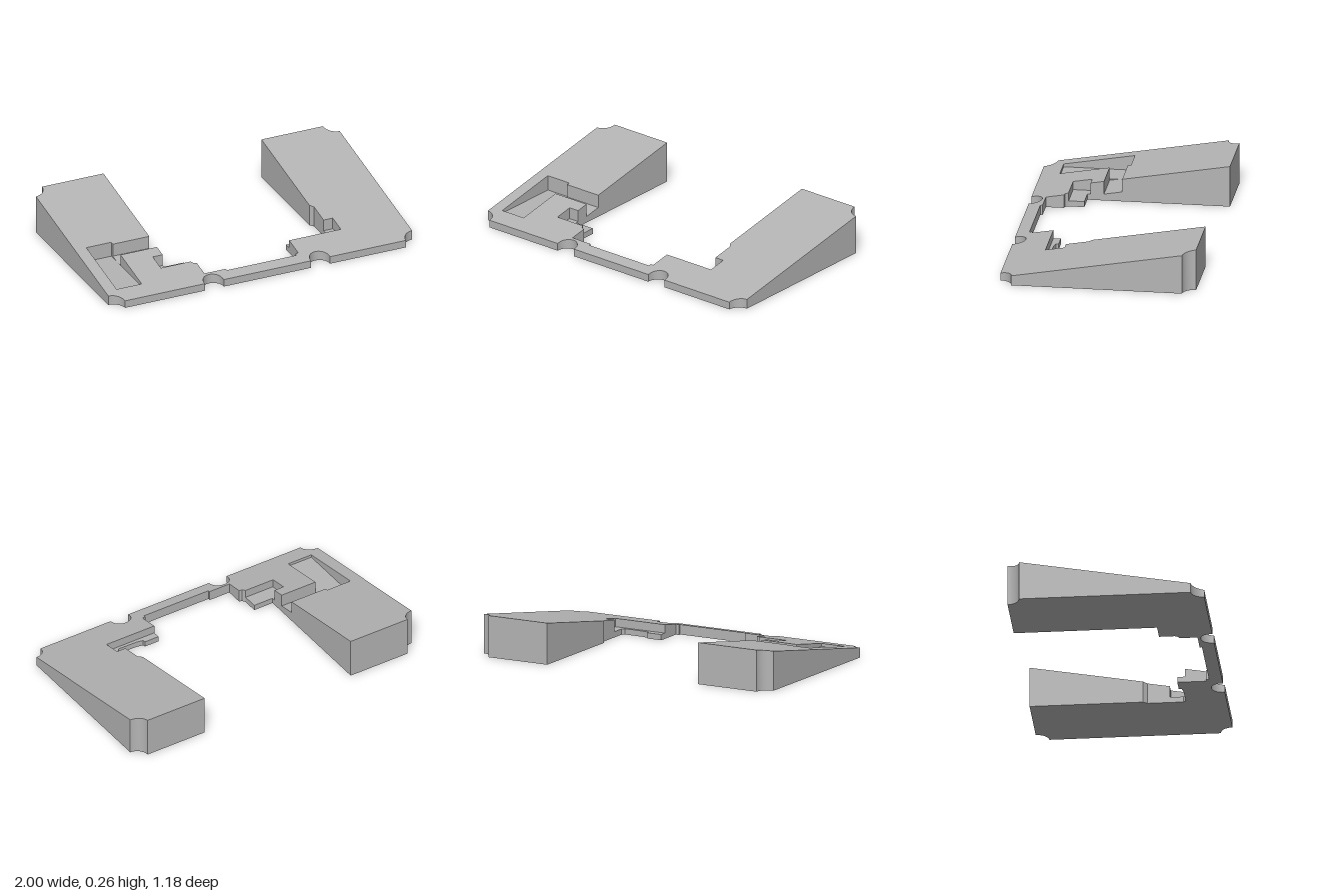
import * as THREE from 'three';
import { toCreasedNormals } from 'three/addons/utils/BufferGeometryUtils.js';

const grey = new THREE.MeshStandardMaterial({ color: 0xb4b4b4 });
grey.name = 'plain grey';

// Height of the ten degree sloping top at depth z
const slope = (z) => 0.151 - 0.1763 * z;

// Points of an arc in plan, angles in degrees from +x towards +z
function arc(x, z, r, from, to, steps = 10) {
  return Array.from({ length: steps + 1 }, (_, i) => {
    const a = THREE.MathUtils.degToRad(from + ((to - from) * i) / steps);
    return [x + r * Math.cos(a), z + r * Math.sin(a)];
  });
}

// Solid standing on the ground with a plan outline and a top height rule
function slab(name, plan, top) {
  const shape = new THREE.Shape(plan.map(([x, z]) => new THREE.Vector2(x, -z)));
  let g = new THREE.ExtrudeGeometry(shape, { depth: 1, bevelEnabled: false });
  g.rotateX(-Math.PI / 2);
  const p = g.attributes.position;
  for (let i = 0; i < p.count; i++) p.setY(i, p.getY(i) > 0.5 ? top(p.getZ(i)) : 0);
  g = toCreasedNormals(g, 0.5);
  const mesh = new THREE.Mesh(g, grey);
  mesh.name = name;
  return mesh;
}

const rect = (x0, x1, z0, z1) => [[x0, z0], [x0, z1], [x1, z1], [x1, z0]];

// Half-round bite in the front edge
const bite = (x) => [[x - 0.0625, 0.59], ...arc(x, 0.5775, 0.0625, 180, 360), [x + 0.0625, 0.59]];

export function createModel() {
  const model = new THREE.Group();
  model.name = 'wedgeStand';

  const outline = [
    // front edge with scallops
    ...arc(-1, 0.59, 0.075, -90, 0),
    ...bite(-0.3375),
    ...bite(0.3625),
    ...arc(1, 0.59, 0.075, 180, 270),
    // left arm and its inner notch
    ...arc(1, -0.59, 0.075, 90, 180),
    [0.52, -0.59], [0.52, 0.09], [0.54, 0.115], [0.54, 0.25],
    [0.6, 0.25], [0.6, 0.365], [0.26, 0.365],
    // inner edge of the front bar
    [0.26, 0.495], [0.24, 0.495], [0.24, 0.512], [-0.22, 0.512], [-0.22, 0.498],
    [-0.36, 0.498], [-0.36, 0.39], [-0.378, 0.385], [-0.39, 0.365],
    // right notch, channel and pocket
    [-0.585, 0.365], [-0.585, 0.25], [-0.52, 0.25],
    [-0.52, 0.17], [-0.76, 0.17], [-0.76, 0.47], [-0.925, 0.47],
    [-0.925, 0.04], [-0.76, 0.04], [-0.76, 0.06], [-0.52, 0.06],
    // right arm
    [-0.52, -0.59],
    ...arc(-1, -0.59, 0.075, 0, 90),
  ];
  model.add(slab('wedgeBody', outline, slope));

  // Recessed floors
  model.add(slab('pocketFloor', rect(-0.925, -0.76, 0.04, 0.47), () => 0.05));
  model.add(slab('channelFloor', rect(-0.76, -0.52, 0.06, 0.17), (z) => 0.05 + (0.115 - z) * 0.1763));
  model.add(slab('rightLedge', [
    [-0.585, 0.25], [-0.585, 0.365], [-0.39, 0.365], [-0.39, 0.27], [-0.52, 0.27], [-0.52, 0.25],
  ], () => 0.035));
  model.add(slab('leftLedge', [
    [0.26, 0.365], [0.6, 0.365], [0.6, 0.25], [0.54, 0.25], [0.54, 0.33], [0.525, 0.347],
    [0.4, 0.345], [0.358, 0.337], [0.355, 0.32], [0.26, 0.32],
  ], () => 0.035));

  return model;
}
